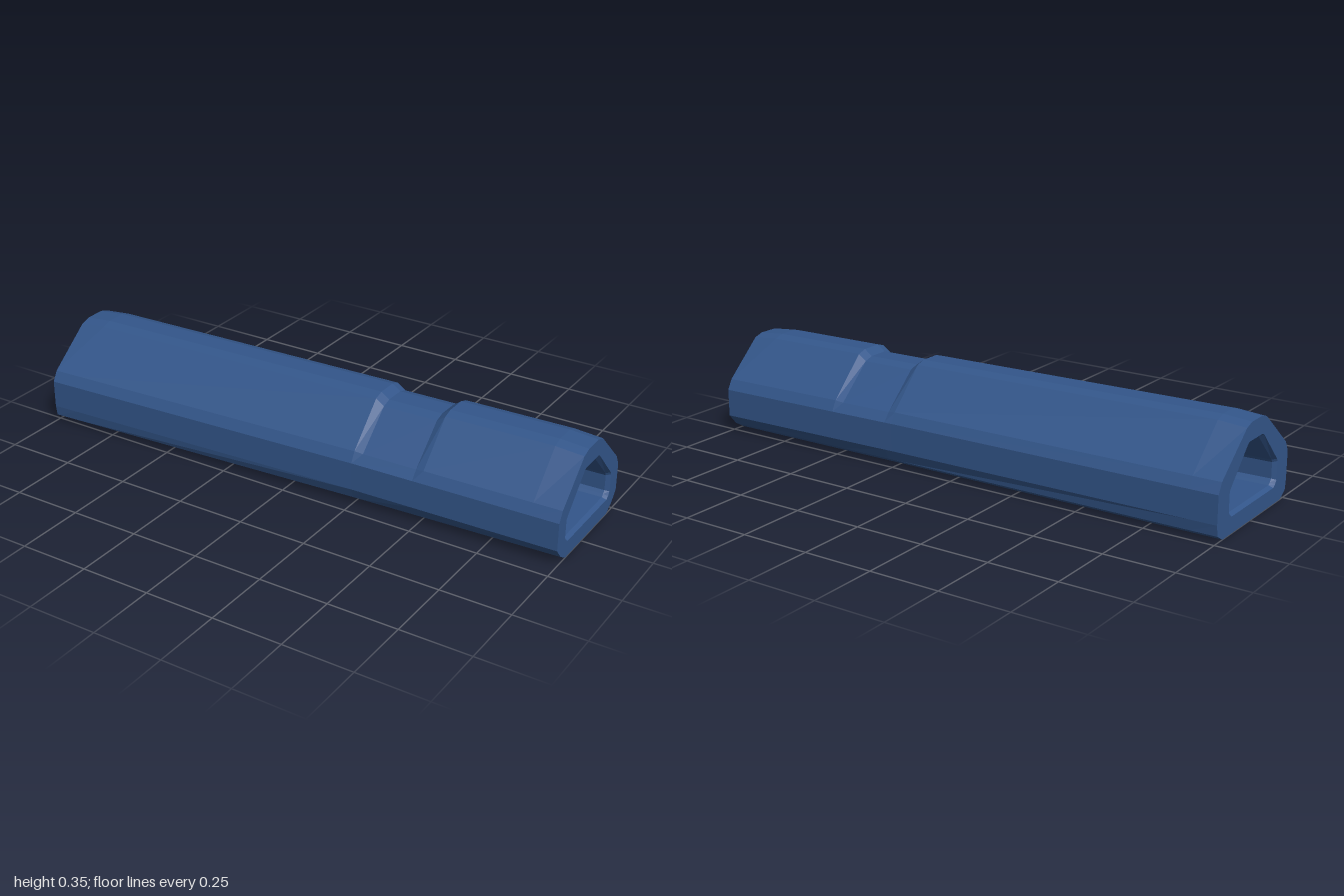
import * as THREE from 'three';

// Mirror a half section ([half width, y] from bottom to top) about a centre z at station x
function ring(x, centre, half) {
  const near = half.map(([w, y]) => [x, y, centre + w]);
  const far = half.map(([w, y]) => [x, y, centre - w]).reverse();
  return [...near, ...far];
}

// Join successive closed rings with flat faces
function loft(rings, name, material) {
  const n = rings[0].length;
  const index = [];
  for (let i = 0; i < rings.length - 1; i++) {
    for (let j = 0; j < n; j++) {
      const k = (j + 1) % n;
      const a = i * n + j, b = (i + 1) * n + j, c = (i + 1) * n + k, d = i * n + k;
      index.push(a, b, c, a, c, d);
    }
  }
  const indexed = new THREE.BufferGeometry();
  indexed.setAttribute('position', new THREE.Float32BufferAttribute(rings.flat(2), 3));
  indexed.setIndex(index);
  const geometry = indexed.toNonIndexed();
  geometry.computeVertexNormals();
  const mesh = new THREE.Mesh(geometry, material);
  mesh.name = name;
  return mesh;
}

// Piecewise straight taper with a bend at x = 0.25
function taper(x, start, bend, end) {
  return x < 0.25
    ? THREE.MathUtils.mapLinear(x, -1, 0.25, start, bend)
    : THREE.MathUtils.mapLinear(x, 0.25, 1, bend, end);
}
const centreAt = (x) => taper(x, 0.018, -0.021, -0.041);

// Outer section: drop lowers the crown, pinch pulls in the shoulders
function outerRing(x, drop, pinch) {
  const w = taper(x, 0.253, 0.229, 0.231);
  const cut = taper(x, 0.005, 0.016, 0.032);
  return ring(x, centreAt(x), [
    [w - cut - 0.037, 0], [w - cut, 0.022], [w, 0.06], [w, 0.16],
    [w - 0.02 - pinch, 0.197 - pinch], [0.072, 0.336 - drop], [0.037, 0.347 - drop],
  ]);
}

// Bore section: inset shrinks it inside the bevelled mouths
function boreRing(x, inset) {
  return ring(x, centreAt(x), [
    [0.153 - inset / 2, 0.058 + inset], [0.166 - inset, 0.066 + inset],
    [0.175 - inset, 0.08 + inset / 2], [0.175 - inset, 0.145 - inset / 2],
    [0.17 - inset, 0.155 - inset / 2], [0.058 - inset, 0.27 - inset], [0.047 - inset, 0.275 - inset],
  ]);
}

export function createModel() {
  const group = new THREE.Group();
  group.name = 'hollowSleeve';
  const blue = new THREE.MeshStandardMaterial({ color: 0x33568a });
  blue.name = 'steel blue';

  // Stations: x, crown drop, shoulder pinch (shallow saddle between 0.25 and 0.51)
  const outer = [
    [-1, 0.009, 0], [-0.9, 0, 0], [0.25, 0, 0], [0.28, 0.022, 0.005],
    [0.48, 0.022, 0.005], [0.51, 0, 0], [0.9, 0, 0], [1, 0.009, 0],
  ].map((s) => outerRing(...s));

  // Bore runs back from the +x mouth so its faces point inward
  const bore = [
    [1, 0], [0.985, 0.008], [0.25, 0.008], [-0.985, 0.008], [-1, 0],
  ].map((s) => boreRing(...s));

  group.add(
    loft(outer, 'outerShell', blue),
    loft(bore, 'bore', blue),
    loft([outer[outer.length - 1], bore[0]], 'leftEndRim', blue),
    loft([bore[bore.length - 1], outer[0]], 'rightEndRim', blue),
  );
  return group;
}
